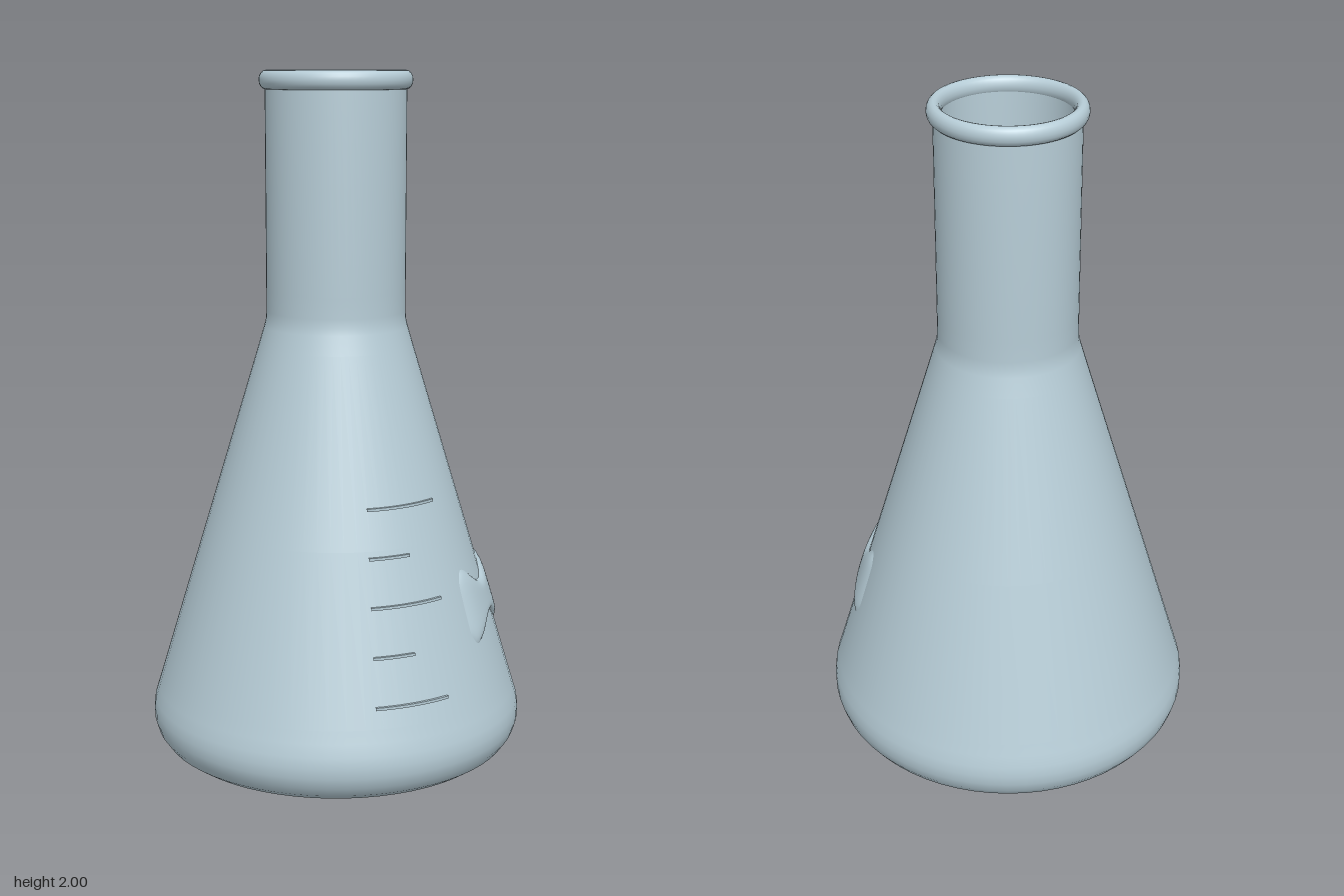
import * as THREE from 'three';
import { toCreasedNormals } from 'three/addons/utils/BufferGeometryUtils.js';

const SEGMENTS = 64;

// Outer radius of the conical wall at a given height
const coneRadius = y => 0.203 + (1.29 - y) * (0.532 - 0.203) / (1.29 - 0.2);
const points = list => list.map(([x, y]) => new THREE.Vector2(x, y));

export function createModel() {
  const glass = new THREE.MeshStandardMaterial({ color: 0xb6ccd6 });
  glass.name = 'pale blue glass';
  const violet = new THREE.MeshStandardMaterial({ color: 0xa994cf });
  violet.name = 'violet liquid';

  const flask = new THREE.Group();
  flask.name = 'conicalFlask';
  const add = (name, geometry, material) => {
    const mesh = new THREE.Mesh(geometry, material);
    mesh.name = name;
    flask.add(mesh);
    return mesh;
  };

  // Hollow body: rounded base, cone and neck outside, then back down inside
  add('body', new THREE.LatheGeometry(points([
    [0, 0.008], [0.39, 0.008], [0.41, 0.008], [0.45, 0.013], [0.487, 0.025], [0.516, 0.045],
    [0.536, 0.073], [0.546, 0.105], [0.547, 0.135], [0.543, 0.165], [0.532, 0.2],
    [0.521, 0.236], [coneRadius(0.7), 0.7], [coneRadius(1.22), 1.22],
    [0.208, 1.275], [0.203, 1.295], [0.201, 1.32], [0.201, 1.38], [0.201, 1.97],
    [0.182, 1.97], [0.182, 1.36], [0.182, 1.3], [0.2, 1.23], [0.505, 0.22],
    [0.52, 0.13], [0.49, 0.06], [0.41, 0.03], [0, 0.03]
  ]), SEGMENTS), glass);

  // Flat foot under the base
  const foot = add('foot', new THREE.CylinderGeometry(0.41, 0.4, 0.009, SEGMENTS), glass);
  foot.position.y = 0.0045;

  // Rolled rim around the mouth
  const rim = add('rim', new THREE.TorusGeometry(0.198, 0.02, 16, SEGMENTS), glass);
  rim.rotation.x = Math.PI / 2;
  rim.scale.z = 1.35;
  rim.position.y = 1.973;

  // Liquid with a flat top surface
  const liquid = new THREE.LatheGeometry(points([
    [0, 0.035], [0.4, 0.035], [0.48, 0.065], [0.51, 0.13], [0.495, 0.22],
    [coneRadius(0.7) - 0.022, 0.7], [0, 0.7]
  ]), SEGMENTS);
  add('liquid', toCreasedNormals(liquid, 0.9), violet);

  // Raised measuring marks, alternately long and short
  for (let i = 0; i < 5; i++) {
    const y = 0.29 + i * 0.13;
    const r = coneRadius(y);
    const start = 0.03 / r;
    const length = (i % 2 ? 0.122 : 0.225) / r;
    const mark = new THREE.LatheGeometry(points([
      [r - 0.006, y - 0.004], [r + 0.006, y - 0.004],
      [r + 0.006, y + 0.004], [r - 0.006, y + 0.004]
    ]), 12, start, length);
    add('measuringMark' + (i + 1), toCreasedNormals(mark, 0.5), glass);
  }

  // Soft raised patch, narrow in the middle, wrapped on the cone
  const patch = new THREE.PlaneGeometry(2, 2, 32, 16);
  const pos = patch.attributes.position;
  for (let i = 0; i < pos.count; i++) {
    const u = pos.getX(i), v = pos.getY(i);
    const flare = THREE.MathUtils.smoothstep(Math.abs(u), 0.05, 0.85);
    const corner = 0.03 * THREE.MathUtils.smoothstep(Math.abs(u), 0.82, 1);
    const y = 0.495 + v * (0.05 + 0.06 * flare - corner);
    const bump = 0.018 * (1 - u ** 6) * (1 - v ** 6) - 0.003;
    const phi = 1.167 + u * (0.155 / 0.44);
    const r = coneRadius(y) + bump;
    pos.setXYZ(i, r * Math.sin(phi), y, r * Math.cos(phi));
  }
  patch.computeVertexNormals();
  add('raisedPatch', patch, glass);

  return flask;
}
